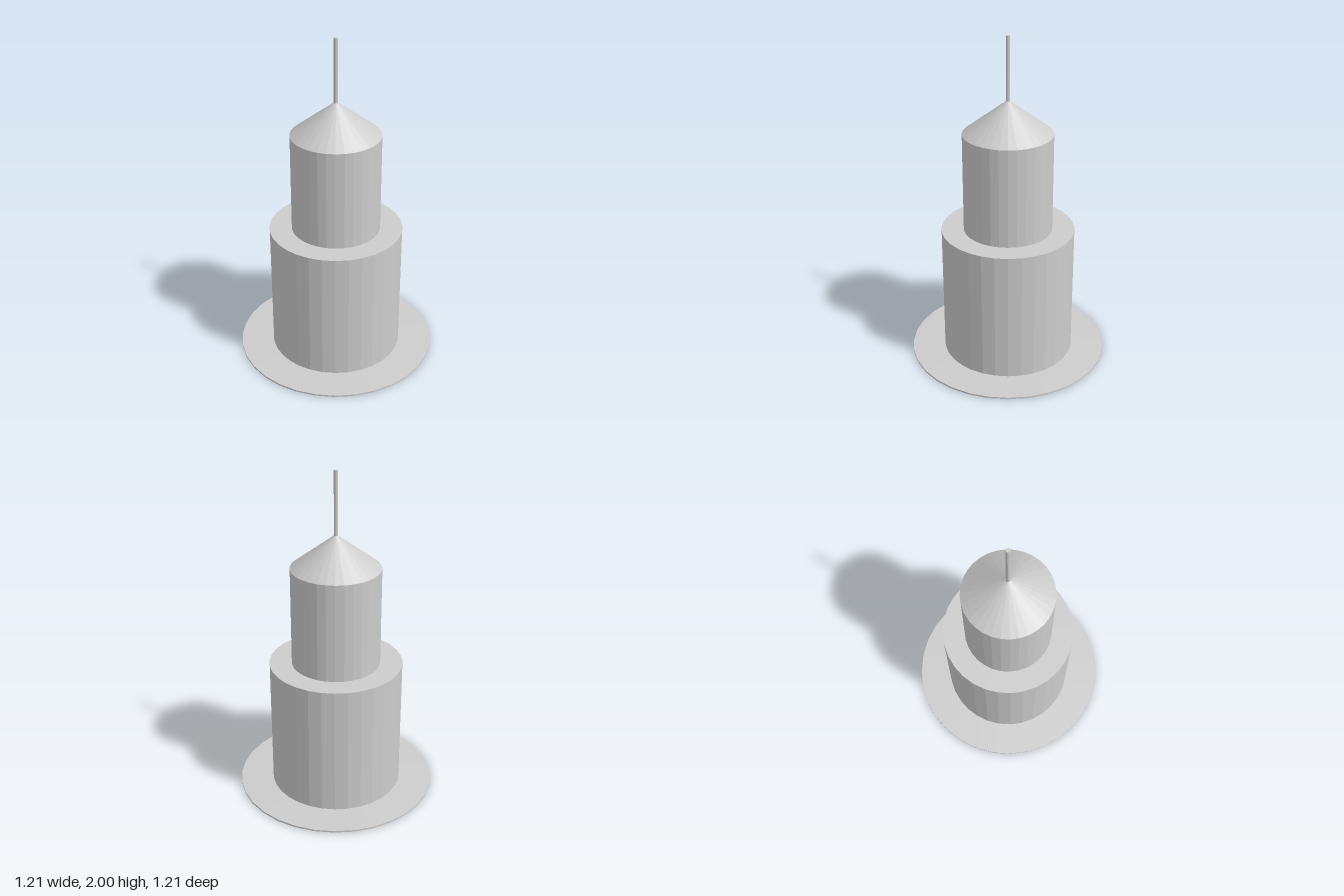
import * as THREE from 'three';

const SIDES = 32;

export function createModel() {
  const model = new THREE.Group();
  model.name = 'tower';
  const grey = new THREE.MeshStandardMaterial({ color: 0xcccccc, flatShading: true });
  grey.name = 'light grey';

  // Round part standing between two heights
  function round(name, rTop, rBottom, y0, y1, sides = SIDES) {
    const mesh = new THREE.Mesh(new THREE.CylinderGeometry(rTop, rBottom, y1 - y0, sides), grey);
    mesh.position.y = (y0 + y1) / 2;
    mesh.name = name;
    model.add(mesh);
  }

  // Thin base plate, rising slightly towards the middle
  const profile = [[0, 0], [0.605, 0], [0.605, 0.01], [0.4, 0.015], [0, 0.02]];
  const base = new THREE.Mesh(
    new THREE.LatheGeometry(profile.map(([r, y]) => new THREE.Vector2(r, y)), SIDES), grey);
  base.name = 'basePlate';
  model.add(base);

  // Stacked drums, pointed roof and mast
  round('lowerDrum', 0.403, 0.403, 0.01, 0.82);
  round('upperDrum', 0.268, 0.268, 0.82, 1.425);
  round('coneRoof', 0, 0.268, 1.425, 1.63);
  round('mast', 0.0125, 0.0125, 1.61, 2, 16);

  return model;
}
